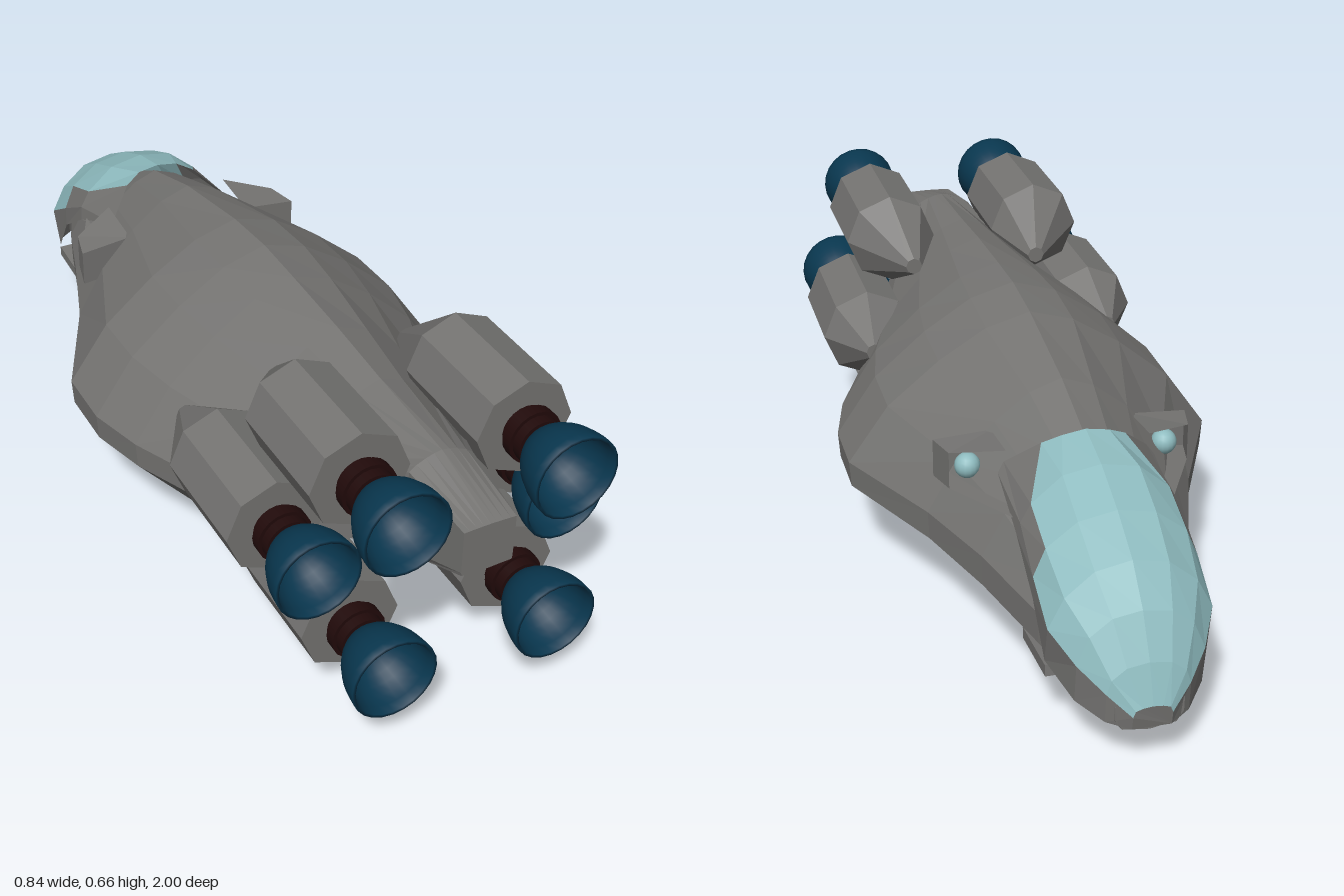
import * as THREE from 'three';

const mat = (name, color, side = THREE.FrontSide) => {
  const m = new THREE.MeshStandardMaterial({ color, side });
  m.name = name;
  return m;
};

// Flat-shaded skin over rows of points; each row runs clockwise seen from +z, rows go towards -z
function skin(rows, { closed = false, caps = [false, false], keep = () => true } = {}) {
  const pos = [];
  const tri = (a, b, c) => pos.push(...a, ...b, ...c);
  const n = rows[0].length, cols = closed ? n : n - 1;
  for (let i = 0; i < rows.length - 1; i++) {
    for (let j = 0; j < cols; j++) {
      if (!keep(i, j)) continue;
      const k = (j + 1) % n, a = rows[i], b = rows[i + 1];
      tri(a[j], a[k], b[j]);
      tri(a[k], b[k], b[j]);
    }
  }
  const first = rows[0], last = rows[rows.length - 1];
  for (let j = 1; j < n - 1; j++) {
    if (caps[0]) tri(first[0], first[j + 1], first[j]);
    if (caps[1]) tri(last[0], last[j], last[j + 1]);
  }
  const g = new THREE.BufferGeometry();
  g.setAttribute('position', new THREE.Float32BufferAttribute(pos, 3));
  g.computeVertexNormals();
  return g;
}

const flat = (g) => {
  const f = g.toNonIndexed();
  f.computeVertexNormals();
  return f;
};
const mirrorX = ([x, y, z]) => [-x, y, z];

// Hull stations: z, top, upper chine, lower chine, bottom, half width, keel half width
const STATIONS = [
  [1.0, 0.51, 0.508, 0.41, 0.40, 0.058, 0.056],
  [0.82, 0.56, 0.53, 0.34, 0.31, 0.072, 0.058],
  [0.58, 0.575, 0.34, 0.27, 0.18, 0.225, 0.08],
  [0.40, 0.59, 0.28, 0.22, 0.03, 0.30, 0.235],
  [0.20, 0.60, 0.275, 0.215, 0.006, 0.385, 0.24],
  [0.06, 0.605, 0.27, 0.21, 0.0, 0.42, 0.24],
  [-0.09, 0.593, 0.27, 0.21, 0.01, 0.42, 0.22],
  [-0.35, 0.548, 0.265, 0.20, 0.045, 0.295, 0.18],
  [-0.55, 0.49, 0.26, 0.19, 0.07, 0.225, 0.14],
  [-0.75, 0.39, 0.235, 0.165, 0.085, 0.16, 0.11],
  [-0.98, 0.18, 0.15, 0.12, 0.09, 0.07, 0.055],
];
const UPPER = [[0, 1], [0.24, 0.91], [0.5, 0.7], [0.78, 0.4], [1, 0]];
const LOWER = [[1, 0.24], [0.42, 0.12], [0.1, 0]];

function hullRing([z, top, c1, c2, bottom, w, keel]) {
  const half = [
    ...UPPER.map(([u, v]) => [u * w, c1 + v * (top - c1), z]),
    [w * 0.99, c2, z],
    ...LOWER.map(([u, v]) => [u * keel, bottom + v * (c2 - bottom), z]),
  ];
  return [...half, ...half.slice(1).reverse().map(mirrorX)];
}

// Nose shell half rows, from centre line to lower lip
const NOSE = [
  [[0, 0.515, -0.53], [0.05, 0.507, -0.53], [0.09, 0.487, -0.515], [0.155, 0.425, -0.46], [0.17, 0.405, -0.47]],
  [[0, 0.49, -0.64], [0.08, 0.475, -0.64], [0.145, 0.42, -0.64], [0.167, 0.38, -0.64], [0.172, 0.35, -0.63]],
  [[0, 0.445, -0.75], [0.08, 0.43, -0.75], [0.145, 0.38, -0.75], [0.17, 0.32, -0.75], [0.17, 0.27, -0.75]],
  [[0, 0.39, -0.85], [0.075, 0.375, -0.85], [0.135, 0.325, -0.85], [0.168, 0.26, -0.85], [0.165, 0.17, -0.82]],
  [[0, 0.32, -0.92], [0.06, 0.31, -0.92], [0.105, 0.275, -0.92], [0.13, 0.215, -0.92], [0.13, 0.13, -0.91]],
  [[0, 0.235, -0.97], [0.045, 0.228, -0.97], [0.075, 0.205, -0.97], [0.085, 0.175, -0.97], [0.085, 0.11, -0.965]],
  [[0, 0.155, -1], [0.02, 0.153, -1], [0.035, 0.148, -1], [0.04, 0.135, -1], [0.04, 0.105, -0.995]],
];

// Engines: x, y, z of the pod's rear face, then the sideways and upward lean of its fairing tip
const ENGINES = [
  [-0.18, 0.55, 0.82, 0.03, -0.025], [0.19, 0.55, 0.82, -0.03, -0.025],
  [-0.285, 0.37, 0.68, -0.01, 0.01], [0.28, 0.36, 0.68, 0.01, 0.01],
  [-0.19, 0.19, 0.82, 0.03, 0.025], [0.18, 0.19, 0.82, -0.03, 0.025],
];

export function createModel() {
  const model = new THREE.Group();
  const grey = mat('hull grey', 0x757472);
  const greyTwoSided = mat('panel grey', 0x757472, THREE.DoubleSide);
  const blue = mat('nozzle blue', 0x09374f);
  const maroon = mat('coupling maroon', 0x210a0a);
  const glass = mat('canopy glass', 0x8fbcc0, THREE.DoubleSide);

  const add = (name, geometry, material, parent = model) => {
    const m = new THREE.Mesh(geometry, material);
    m.name = name;
    parent.add(m);
    return m;
  };

  // Main hull with tail
  add('hull', skin(STATIONS.map(hullRing), { closed: true, caps: [true, true] }), grey);

  // Nose shell and glazed canopy
  const rows = NOSE.map((h) => [...h.slice(1).reverse().map(mirrorX), ...h]);
  const isGlass = (i, j) => {
    const column = j < 4 ? 3 - j : j - 4;
    return column < (i < 2 ? 2 : 3);
  };
  add('noseShell', skin(rows, { caps: [false, true], keep: (i, j) => !isGlass(i, j) }), greyTwoSided);
  add('canopy', skin(rows, { keep: isGlass }), glass);

  // Chin pod under the nose
  const chin = add('chinPod', flat(new THREE.BoxGeometry(0.06, 0.055, 0.13)), grey);
  chin.position.set(0, 0.075, -0.785);
  chin.rotation.x = -0.06;

  // Forward-opening lamp housings and cheek ledges on both sides
  for (const s of [1, -1]) {
    const A = [s * 0.155, 0.445, -0.35], B = [s * 0.28, 0.435, -0.345], C = [s * 0.28, 0.35, -0.345];
    const D = [s * 0.155, 0.46, -0.48], E = [s * 0.17, 0.37, -0.6], F = [s * 0.15, 0.36, -0.35];
    const G = [s * 0.262, 0.438, -0.42], H = [s * 0.262, 0.355, -0.42];
    const panels = new THREE.BufferGeometry();
    panels.setAttribute('position', new THREE.Float32BufferAttribute([
      A, B, G, A, G, D, // roof
      B, C, H, B, H, G, // outer wall
      F, C, H, F, H, E, // floor
      A, B, C, A, C, F, // back wall
    ].flat(), 3));
    panels.computeVertexNormals();
    add('lampHousing', panels, greyTwoSided);
    add('lamp', new THREE.SphereGeometry(0.028, 16, 12), glass).position.set(s * 0.217, 0.392, -0.395);

    const ledge = add('cheekLedge', flat(new THREE.BoxGeometry(0.04, 0.025, 0.17)), grey);
    ledge.position.set(s * 0.145, 0.14, -0.74);
    ledge.rotation.x = 0.1;
  }

  // Engines: octagonal pod, leaning pointed fairing, coupling, bell nozzle
  const podBody = flat(new THREE.CylinderGeometry(0.11, 0.11, 0.27, 8).rotateX(Math.PI / 2).translate(0, 0, -0.135));
  const length = 0.14;
  const fairing = (dx, dy) => {
    const g = new THREE.CylinderGeometry(0.11, 0.02, length, 8).rotateX(Math.PI / 2).translate(0, 0, -length / 2);
    const lean = new THREE.Matrix4().set(1, 0, -dx / length, 0, 0, 1, -dy / length, 0, 0, 0, 1, -0.27, 0, 0, 0, 1);
    return flat(g.applyMatrix4(lean));
  };
  const coupling = new THREE.CylinderGeometry(0.052, 0.052, 0.07, 20).rotateX(Math.PI / 2).translate(0, 0, 0.025);
  const collar = new THREE.CylinderGeometry(0.06, 0.06, 0.025, 20).rotateX(Math.PI / 2).translate(0, 0, 0.025);
  const hub = new THREE.CylinderGeometry(0.023, 0.023, 0.03, 16).rotateX(Math.PI / 2).translate(0, 0, 0.06);
  const bell = [];
  for (let i = 0; i <= 8; i++) {
    const t = 0.55 + (Math.PI / 2 - 0.55) * i / 8;
    bell.push(new THREE.Vector2(0.094 * Math.sin(t), 0.135 * (1 - Math.cos(t))));
  }
  for (let i = 8; i >= 0; i--) {
    const t = Math.PI / 2 * i / 8;
    bell.push(new THREE.Vector2(0.087 * Math.sin(t), 0.135 - 0.113 * Math.cos(t)));
  }
  const nozzle = new THREE.LatheGeometry(bell, 24).rotateX(Math.PI / 2).translate(0, 0, 0.045);

  for (const [x, y, z, dx, dy] of ENGINES) {
    const engine = new THREE.Group();
    engine.name = 'engine';
    engine.position.set(x, y, z);
    add('enginePod', podBody, grey, engine);
    add('engineFairing', fairing(dx, dy), grey, engine);
    add('coupling', coupling, maroon, engine);
    add('couplingCollar', collar, maroon, engine);
    add('nozzleHub', hub, maroon, engine);
    add('nozzle', nozzle, blue, engine);
    model.add(engine);
  }
  return model;
}
